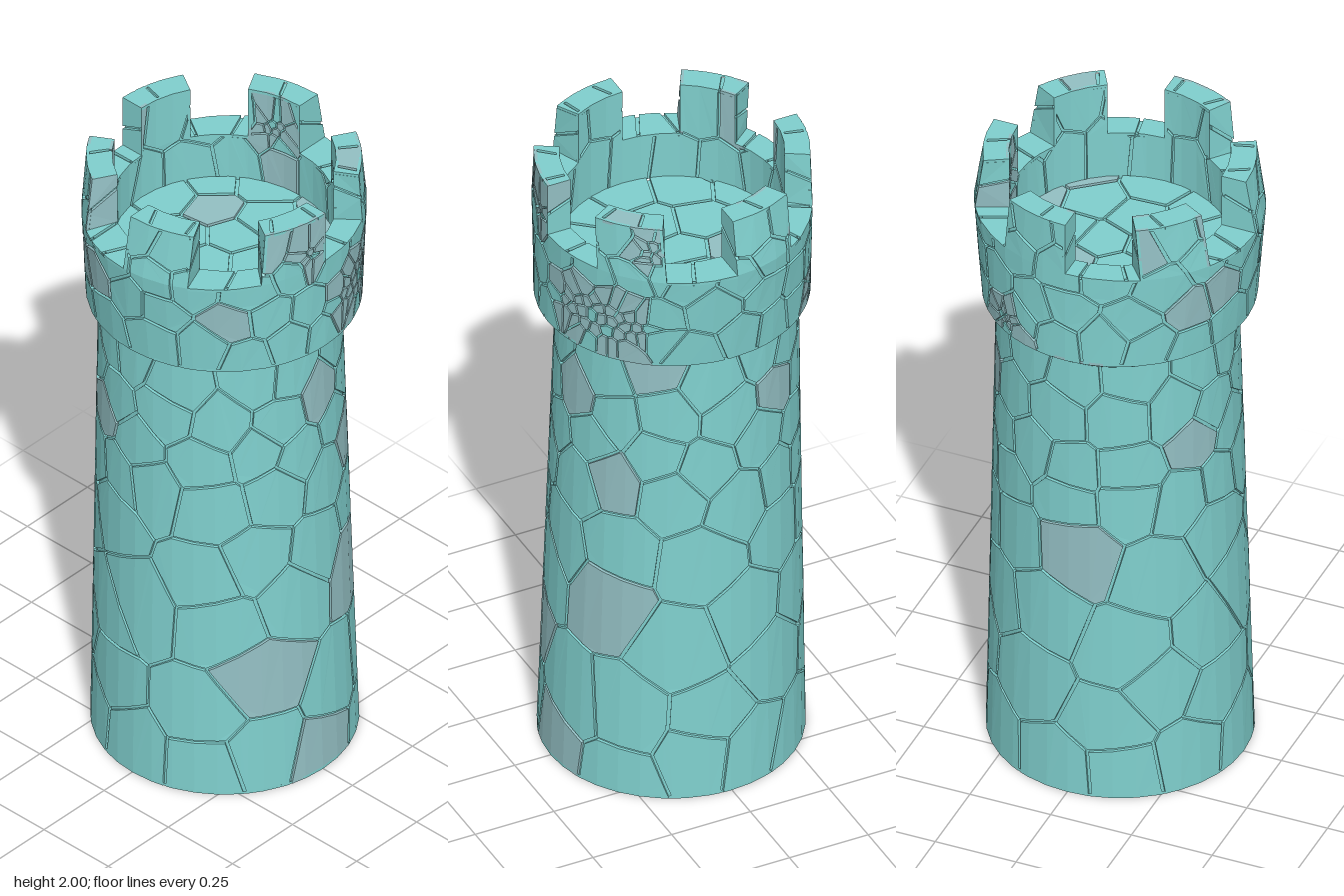
import * as THREE from 'three';

const TEAL = new THREE.MeshStandardMaterial({ color: 0x7fcfcd, flatShading: true });
const PALE = new THREE.MeshStandardMaterial({ color: 0x93bfc3, flatShading: true });
const R = 0.38, TURN = Math.PI * 2, STEP = (R * TURN) / 36; // 36 flat facets round the tower
const GAP = 0.005, DEPTH = 0.009; // half width and depth of the joints
const FLOOR = 1.68, NOTCH = 1.83, TOP = 2, COLLAR = 1.525;
const { lerp } = THREE.MathUtils;

let state = 11;
const rand = () => {
  state = (state * 1664525 + 1013904223) % 4294967296;
  return state / 4294967296;
};

// Convex polygon clipping: keeps the side where a*x + b*y <= c
function clip(poly, a, b, c) {
  const out = [];
  poly.forEach((p, i) => {
    const q = poly[(i + 1) % poly.length];
    const dp = a * p[0] + b * p[1] - c, dq = a * q[0] + b * q[1] - c;
    if (dp <= 0) out.push(p);
    if (dp * dq < 0) {
      const t = dp / (dp - dq);
      out.push([lerp(p[0], q[0], t), lerp(p[1], q[1], t)]);
    }
  });
  return out;
}
const rect = (u0, u1, v0, v1) => [[u0, v0], [u1, v0], [u1, v1], [u0, v1]];
const centre = (poly) => [0, 1].map((k) => poly.reduce((s, p) => s + p[k], 0) / poly.length);

// Cuts a polygon along the facet lines and profile bends
function cut(poly, { step, bends = [] }) {
  let pieces = [poly];
  if (step) {
    const us = poly.map((p) => p[0]);
    pieces = [];
    for (let k = Math.floor(Math.min(...us) / step); k * step < Math.max(...us); k++)
      pieces.push(clip(clip(poly, 1, 0, (k + 1) * step), -1, 0, -k * step));
  }
  for (const b of bends) pieces = pieces.flatMap((p) => [clip(p, 0, 1, b), clip(p, 0, -1, -b)]);
  return pieces.filter((p) => p.length > 2);
}
function onCut([u1, v1], [u2, v2], { step, bends = [] }) {
  const k = step ? u1 / step : 0.5;
  return (Math.abs(u1 - u2) < 1e-6 && Math.abs(k - Math.round(k)) < 1e-4)
    || bends.some((b) => Math.abs(v1 - b) < 1e-6 && Math.abs(v2 - b) < 1e-6);
}

// Fan of triangles turned to face the given direction
function fan(out, pts, dir) {
  for (let i = 1; i < pts.length - 1; i++) {
    const [a, b, c] = [pts[0], pts[i], pts[i + 1]];
    const n = b.clone().sub(a).cross(c.clone().sub(a));
    for (const p of n.dot(dir) < 0 ? [a, c, b] : [a, b, c]) out.push(p.x, p.y, p.z);
  }
}

// Lays a flat or wrapped polygon on the surface, with side walls if it is a stone
function lay(out, poly, panel, d, walls) {
  const { map, keep = () => true } = panel, mid = centre(poly);
  for (const piece of cut(poly, panel)) {
    const c = centre(piece);
    if (!keep(...c)) continue;
    fan(out, piece.map((p) => map(...p, d)), map(...c, 0.01).sub(map(...c, 0)));
    if (walls) piece.forEach((p, i) => {
      const q = piece[(i + 1) % piece.length];
      if (onCut(p, q, panel)) return;
      const quad = [map(...p, 0), map(...q, 0), map(...q, -DEPTH), map(...p, -DEPTH)];
      fan(out, quad, map((p[0] + q[0]) / 2, (p[1] + q[1]) / 2, 0).sub(map(...mid, 0)));
    });
  }
}

// A surface of irregular cracked stones over a mortar bed
function stonework(name, panel) {
  const { seeds, bounds, wrap } = panel, lists = { Mortar: [], Stones: [], PaleStones: [] };
  lay(lists.Mortar, bounds, panel, -DEPTH, false);
  const all = wrap ? seeds.flatMap((s) => [-1, 0, 1].map((k) => [s[0] + k * R * TURN, s[1]])) : seeds;
  const vs = bounds.map((p) => p[1]);
  for (const [u, v, small] of seeds) {
    let cell = wrap ? rect(u - 0.6, u + 0.6, Math.min(...vs), Math.max(...vs)) : bounds;
    for (const [x, y] of all) {
      const dx = x - u, dy = y - v, len = Math.hypot(dx, dy);
      if (len < 1e-6 || len > 1.2) continue;
      cell = clip(cell, dx / len, dy / len, (dx * (u + x) + dy * (v + y)) / 2 / len - (small ? 0.6 : 1) * GAP);
    }
    const pale = rand() < (small ? 0.85 : 0.1);
    if (cell.length > 2) lay(pale ? lists.PaleStones : lists.Stones, cell, panel, 0, true);
  }
  const group = new THREE.Group();
  group.name = name;
  for (const [part, list] of Object.entries(lists)) {
    if (!list.length) continue;
    const geo = new THREE.BufferGeometry();
    geo.setAttribute('position', new THREE.Float32BufferAttribute(list, 3));
    geo.computeVertexNormals();
    const mesh = new THREE.Mesh(geo, part === 'PaleStones' ? PALE : TEAL);
    mesh.name = name + part;
    group.add(mesh);
  }
  return group;
}

// Jittered rows of stone centres
function grid(u0, u1, v0, v1, cols, rows) {
  const pts = [];
  for (let j = 0; j < rows; j++) for (let i = 0; i < cols; i++)
    pts.push([
      lerp(u0, u1, (i + 0.25 + (j % 2) * 0.5 + (rand() - 0.5) * 0.55) / cols),
      lerp(v0, v1, (j + 0.5 + (rand() - 0.5) * 0.65) / rows)]);
  return pts;
}
// Replaces the stones in a patch by small pebbles
function pebbles(seeds, u, v, ru, rv, n) {
  const inside = (p, s) => ((p[0] - u) / ru) ** 2 + ((p[1] - v) / rv) ** 2 < s;
  const rest = seeds.filter((p) => !inside(p, 1.7));
  const cols = Math.round(Math.sqrt((n * ru) / rv));
  return rest.concat(grid(u - ru, u + ru, v - rv, v + rv, cols, Math.round(n / cols))
    .filter((p) => inside(p, 1)).map((p) => [...p, true]));
}

// Points on the round walls
const ring = (phi, rx, rz, y, z = 0) => new THREE.Vector3(rx * Math.sin(phi), y, rz * Math.cos(phi) + z);
const shaftAt = (phi, y, d = 0) => {
  const r = lerp(0.383, 0.347, y / 1.5) + d;
  return ring(phi, r, r, y, lerp(0.003, -0.016, y / 1.5));
};
const outerAt = (phi, y, d = 0) => {
  const rx = y < NOTCH ? lerp(0.393, 0.42, (y - COLLAR) / (NOTCH - COLLAR)) : lerp(0.42, 0.39, (y - NOTCH) / (TOP - NOTCH));
  return ring(phi, rx + d, 0.395 + d, y);
};
const innerAt = (phi, y, d = 0) => ring(phi, 0.315 - d, 0.322 - d, y);
const isMerlon = (u) => ((((u / R) * 360) / TURN + 720) % 60) > 30;
const circle = (f) => Array.from({ length: 36 }, (_, i) => f((i * TURN) / 36)).map((p) => [p.x, p.z]);

export function createModel() {
  const tower = new THREE.Group(), len = R * TURN;
  tower.name = 'tower';
  const round = { wrap: true, step: STEP };

  // Tapered shaft: larger stones low down
  tower.add(stonework('shaft', {
    ...round, bounds: rect(0, len, 0, 1.51),
    seeds: [...grid(0, len, 0, 0.2, 11, 1), ...grid(0, len, 0.2, 0.95, 10, 3), ...grid(0, len, 0.95, 1.51, 13, 4)],
    map: (u, v, d) => shaftAt(u / R, v, d) }));

  // Flared collar running up into the merlons
  let seeds = grid(0, len, COLLAR, TOP, 17, 4);
  seeds = pebbles(seeds, 0.55 * R, 1.65, 0.17, 0.09, 48);
  seeds = pebbles(seeds, 2.57 * R, 1.57, 0.05, 0.04, 14);
  seeds = pebbles(seeds, 0.95 * R, 1.92, 0.05, 0.06, 14);
  seeds = pebbles(seeds, -0.13 * R + len, 1.88, 0.04, 0.04, 12);
  tower.add(stonework('collar', {
    ...round, bounds: rect(0, len, COLLAR, TOP), bends: [NOTCH], seeds,
    keep: (u, v) => v < NOTCH || isMerlon(u),
    map: (u, v, d) => outerAt(u / R, v, d) }));

  // Sloping ledge under the collar
  tower.add(stonework('collarUnderside', {
    ...round, bounds: rect(0, len, 0, 0.05), seeds: grid(0, len, 0, 0.05, 16, 1),
    map: (u, v, d) => shaftAt(u / R, 1.5).lerp(outerAt(u / R, COLLAR), v / 0.05).add(new THREE.Vector3(0, -d, 0)) }));

  // Inner face of the parapet
  tower.add(stonework('innerWall', {
    ...round, bounds: rect(0, len, FLOOR - 0.01, TOP), bends: [NOTCH],
    seeds: pebbles(grid(0, len, FLOOR, TOP, 15, 2), 1.85 * R, 1.88, 0.06, 0.06, 16),
    keep: (u, v) => v < NOTCH || isMerlon(u),
    map: (u, v, d) => innerAt(u / R, v, d) }));

  // Notch sills and merlon tops
  for (const [name, y, high] of [['notchSills', NOTCH, false], ['merlonTops', TOP, true]])
    tower.add(stonework(name, {
      ...round, bounds: rect(0, len, 0, 0.08), seeds: grid(0, len, 0, 0.08, 19, 1),
      keep: (u) => isMerlon(u) === high,
      map: (u, v, d) => innerAt(u / R, y).lerp(outerAt(u / R, y), v / 0.08).add(new THREE.Vector3(0, d, 0)) }));

  // Side faces of the six merlons
  for (let i = 0; i < 12; i++) {
    const phi = (i * TURN) / 12, side = i % 2 ? -1 : 1;
    const out = new THREE.Vector3(Math.cos(phi), 0, -Math.sin(phi)).multiplyScalar(side);
    tower.add(stonework('merlonSide', {
      bounds: rect(0, 0.08, NOTCH, TOP), seeds: grid(0, 0.08, NOTCH, TOP, 1, 2),
      map: (u, v, d) => innerAt(phi, v).lerp(outerAt(phi, v), u / 0.08).addScaledVector(out, d) }));
  }

  // Paved roof floor and base
  tower.add(stonework('roofFloor', {
    bounds: circle((a) => innerAt(a, FLOOR)), seeds: grid(-0.32, 0.32, -0.32, 0.32, 4, 5),
    map: (u, v, d) => new THREE.Vector3(u, FLOOR + d, v) }));
  tower.add(stonework('base', {
    bounds: circle((a) => shaftAt(a, 0)), seeds: grid(-0.37, 0.37, -0.37, 0.37, 4, 4),
    map: (u, v, d) => new THREE.Vector3(u, -d, v) }));
  return tower;
}
